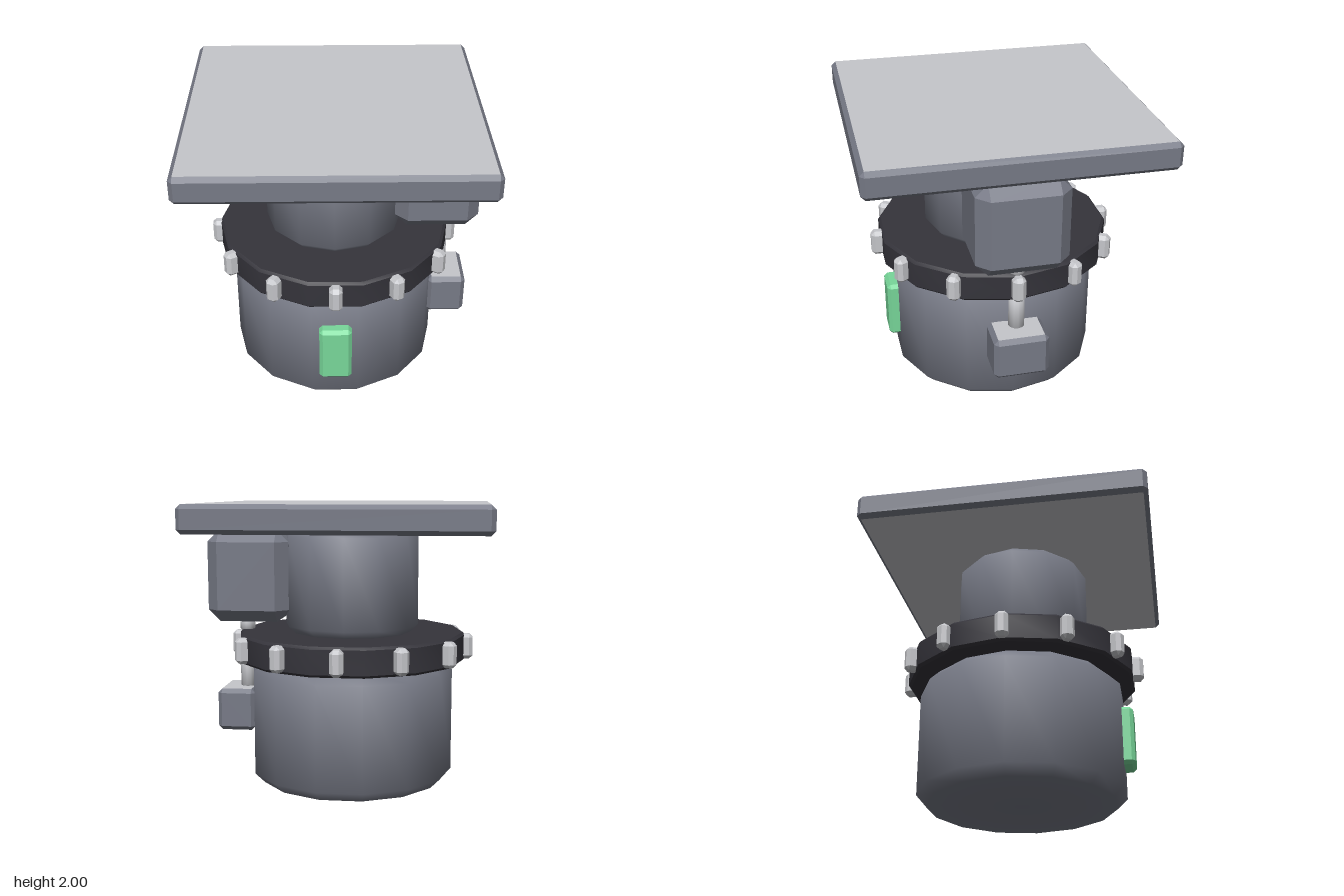
import * as THREE from 'three';
import { toCreasedNormals } from 'three/addons/utils/BufferGeometryUtils.js';
import { ConvexGeometry } from 'three/addons/geometries/ConvexGeometry.js';

function material(name, color) {
  const m = new THREE.MeshStandardMaterial({ color });
  m.name = name;
  return m;
}

// Box with all edges cut at 45 degrees; group 1 holds the flat top and bottom faces
function chamferBox(w, h, d, c) {
  const [x, y, z] = [w / 2, h / 2, d / 2];
  const points = [];
  for (const sx of [-1, 1]) for (const sy of [-1, 1]) for (const sz of [-1, 1]) {
    points.push(
      new THREE.Vector3(sx * x, sy * (y - c), sz * (z - c)),
      new THREE.Vector3(sx * (x - c), sy * y, sz * (z - c)),
      new THREE.Vector3(sx * (x - c), sy * (y - c), sz * z));
  }
  const g = new ConvexGeometry(points);
  const normal = g.attributes.normal;
  for (let i = 0; i < normal.count; i += 3) {
    g.addGroup(i, 3, Math.abs(normal.getY(i)) > 0.99 ? 1 : 0);
  }
  return g;
}

// Solid drum with bevelled rims and softly shaded sides
function drum(radius, y0, y1, bevel, sides, crease = 0.9) {
  const profile = [
    [0, y0], [radius - bevel, y0], [radius, y0 + bevel],
    [radius, y1 - bevel], [radius - bevel, y1], [0, y1],
  ].map(([r, y]) => new THREE.Vector2(r, y));
  return toCreasedNormals(new THREE.LatheGeometry(profile, sides, Math.PI / 2), crease);
}

export function createModel() {
  const model = new THREE.Group();
  model.name = 'rotaryTable';

  const steel = material('steelGrey', 0x777a86);
  const pale = material('paleGrey', 0xc6c7cb);
  const dark = material('darkRubber', 0x35343b);
  const green = material('greenPanel', 0x78d79a);

  function add(name, geometry, mat, x = 0, y = 0, z = 0, parent = model) {
    const mesh = new THREE.Mesh(geometry, mat);
    mesh.name = name;
    mesh.position.set(x, y, z);
    parent.add(mesh);
    return mesh;
  }

  // Stacked drums and the square table on top
  add('base', drum(0.73, 0, 0.875, 0.07, 14), steel);
  add('gearRing', drum(0.82, 0.875, 1.08, 0.018, 14, 0.6), dark);
  add('column', drum(0.48, 1.08, 1.815, 0.05, 12), steel);
  add('tableTop', chamferBox(2, 0.19, 2, 0.03), [steel, pale], 0, 1.905, 0);

  // Twelve teeth around the ring
  const teeth = new THREE.Group();
  teeth.name = 'gearTeeth';
  model.add(teeth);
  const toothGeometry = chamferBox(0.09, 0.18, 0.1, 0.025);
  for (let i = 0; i < 12; i++) {
    const a = (i / 12) * Math.PI * 2;
    const tooth = add('tooth', toothGeometry, [pale, pale],
      0.825 * Math.sin(a), 0.98, 0.825 * Math.cos(a), teeth);
    tooth.rotation.y = a;
  }

  // Side motor, its drive shaft and the lower bearing block
  add('motor', chamferBox(0.58, 0.65, 0.62, 0.085), [steel, pale], 0.71, 1.487, 0);
  add('upperShaft', drum(0.056, 1.07, 1.165, 0.015, 12), pale, 0.77);
  add('lowerShaft', drum(0.056, 0.65, 0.89, 0.012, 12), pale, 0.77);
  add('bearingBlock', chamferBox(0.275, 0.305, 0.38, 0.03), [steel, pale], 0.822, 0.505, 0);

  // Indicator panel on the front of the base
  add('frontPanel', chamferBox(0.225, 0.42, 0.14, 0.024), [green, green], 0, 0.447, 0.72);

  return model;
}
